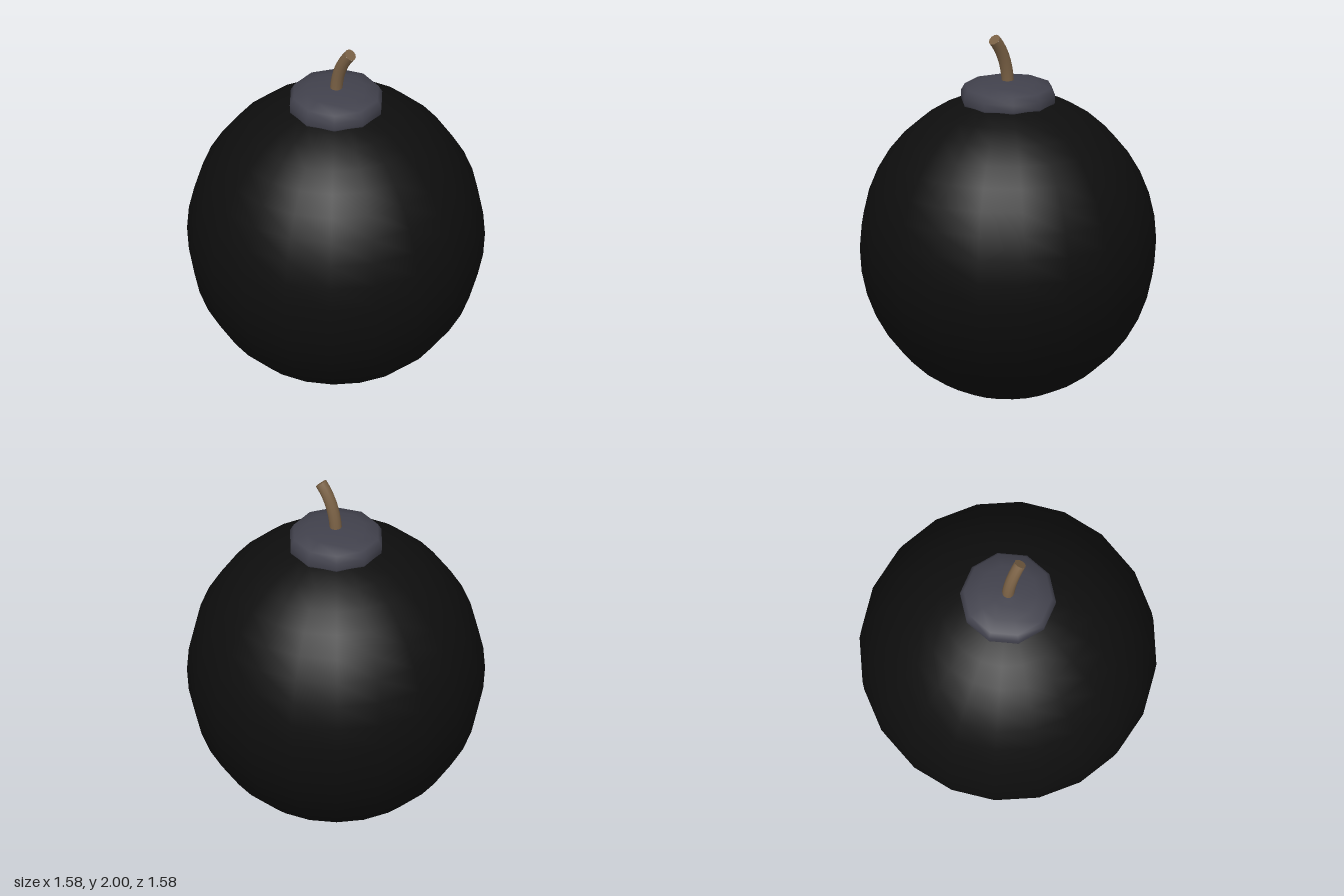
import * as THREE from 'three';

const paint = (color) => new THREE.MeshStandardMaterial({ color });

function addPart(parent, name, geometry, material) {
  const mesh = new THREE.Mesh(geometry, material);
  mesh.name = name;
  parent.add(mesh);
  return mesh;
}

export function createModel() {
  const model = new THREE.Group();
  model.name = 'roundBomb';

  // Slightly tall ball, 20 segments each way
  const body = addPart(model, 'body', new THREE.SphereGeometry(0.79, 20, 20), paint(0x0e0e0e));
  body.scale.y = 0.83 / 0.79;
  body.position.y = 0.83;

  // Ten-sided collar with a straight wall and a softly domed top
  const profile = [
    [0, 1.61], [0.25, 1.61], [0.254, 1.625], [0.255, 1.665], [0.234, 1.702],
    [0.16, 1.724], [0.08, 1.734], [0, 1.738],
  ].map(([r, y]) => new THREE.Vector2(r, y));
  addPart(model, 'collar', new THREE.LatheGeometry(profile, 10), paint(0x41414c));

  // Fuse cord rising from the collar and bending to the model's left
  const fuse = new THREE.Group();
  fuse.name = 'fuse';
  model.add(fuse);
  const radius = 0.033;
  const path = new THREE.QuadraticBezierCurve3(
    new THREE.Vector3(0, 1.7, 0),
    new THREE.Vector3(0.005, 1.87, 0),
    new THREE.Vector3(0.098, 1.976, 0),
  );
  const cord = paint(0x7a6145);
  addPart(fuse, 'fuseCord', new THREE.TubeGeometry(path, 8, radius, 12), cord);

  // Flat disc closing the tip
  const tip = addPart(fuse, 'fuseTip', new THREE.CircleGeometry(radius, 12), cord);
  tip.position.copy(path.getPoint(1));
  tip.quaternion.setFromUnitVectors(new THREE.Vector3(0, 0, 1), path.getTangent(1));

  return model;
}
